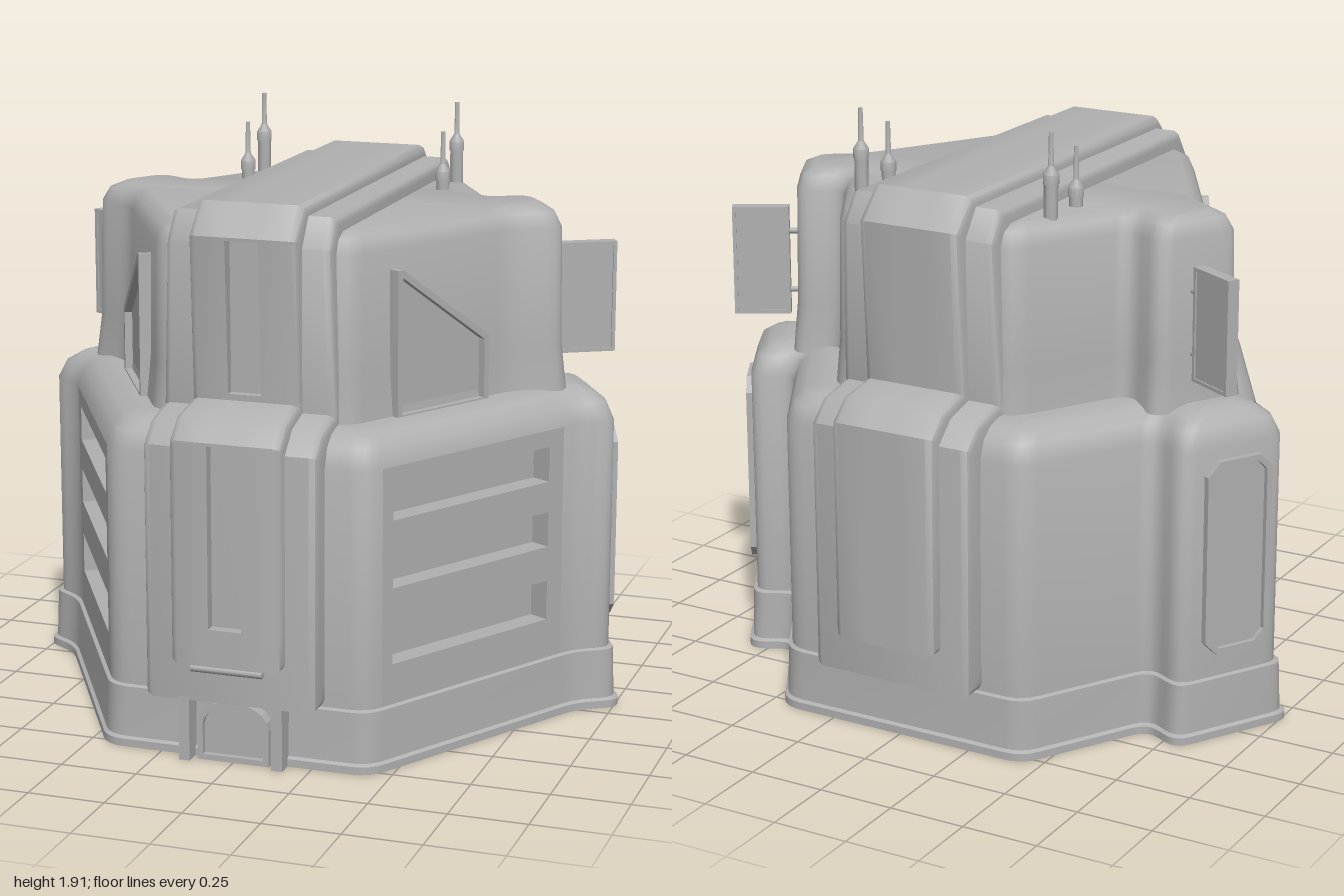
import * as THREE from 'three';
import { toCreasedNormals } from 'three/addons/utils/BufferGeometryUtils.js';

const S = Math.sqrt(3) / 2;
const grey = new THREE.MeshStandardMaterial({ color: 0xb0b0b0, side: THREE.DoubleSide });
grey.name = 'hull grey';

function add(parent, name, geo, x = 0, y = 0, z = 0) {
  const m = new THREE.Mesh(geo, grey);
  m.name = name;
  m.position.set(x, y, z);
  parent.add(m);
  return m;
}

// Move a 2D path sideways by d, with mitred corners
function offset(pts, d, closed) {
  const n = pts.length;
  const differs = (a, b) => Math.hypot(a[0] - b[0], a[1] - b[1]) > 1e-6;
  const find = (i, step) => {
    for (let k = i + step; closed || (k >= 0 && k < n); k += step) {
      const q = pts[(k + n) % n];
      if (differs(q, pts[i])) return q;
    }
    return null;
  };
  const normal = (a, b) => {
    const l = Math.hypot(b[0] - a[0], b[1] - a[1]);
    return [-(b[1] - a[1]) / l, (b[0] - a[0]) / l];
  };
  return pts.map((p, i) => {
    const a = find(i, -1), b = find(i, 1);
    const n1 = a ? normal(a, p) : normal(p, b), n2 = b ? normal(p, b) : n1;
    const k = d / (1 + n1[0] * n2[0] + n1[1] * n2[1]);
    return [p[0] + (n1[0] + n2[0]) * k, p[1] + (n1[1] + n2[1]) * k];
  });
}

// Round every corner with five points
function rounded(pts, r) {
  const out = [], n = pts.length;
  const towards = (p, q) => {
    const l = Math.hypot(q[0] - p[0], q[1] - p[1]);
    return [p[0] + (q[0] - p[0]) * r / l, p[1] + (q[1] - p[1]) * r / l];
  };
  pts.forEach((p, i) => {
    const a = towards(p, pts[(i + n - 1) % n]), b = towards(p, pts[(i + 1) % n]);
    for (let k = 0; k <= 4; k++) {
      const t = k / 4, u = 1 - t;
      out.push([0, 1].map(c => u * u * a[c] + 2 * u * t * p[c] + t * t * b[c]));
    }
  });
  return out;
}

// Skin a set of equal rows of points; cap closes the last row
function skin(rows, closed, skip = () => false, cap = null) {
  const n = rows[0].length, index = [];
  for (let j = 0; j < rows.length - 1; j++) {
    for (let i = 0; i < (closed ? n : n - 1); i++) {
      if (skip(i, j)) continue;
      const a = j * n + i, b = j * n + (i + 1) % n;
      index.push(a, b, b + n, a, b + n, a + n);
    }
  }
  if (cap) {
    const base = (rows.length - 1) * n;
    const flat = cap.map(p => new THREE.Vector2(p[0], -p[1]));
    THREE.ShapeUtils.triangulateShape(flat, []).forEach(f => index.push(...f.map(v => base + v)));
  }
  const g = new THREE.BufferGeometry();
  g.setAttribute('position', new THREE.Float32BufferAttribute(rows.flat(2), 3));
  g.setIndex(index);
  return toCreasedNormals(g, 0.75);
}

// Hexagonal plan with two lobes at the rear flanks
function plan(front, back, wall, rear, lobe, t0, t1) {
  const half = [
    [(wall - front / 2) / S, front],
    [(wall * S - t0 / 2) / 0.5, (t0 * S - wall / 2) / 0.5],
    [S * lobe + t0 / 2, -lobe / 2 + S * t0],
    [S * lobe + t1 / 2, -lobe / 2 + S * t1],
    [S * rear + t1 / 2, -rear / 2 + S * t1],
    [(rear - back / 2) / S, -back],
  ];
  return half.concat([...half].reverse().map(([x, z]) => [-x, z]));
}

function hull(outline, levels, r, skip, capped) {
  const rings = levels.map(([, d]) => rounded(offset(outline, -d, true), r));
  const rows = rings.map((ring, j) => ring.map(([x, z]) => [x, levels[j][0], z]));
  return skin(rows, true, skip, capped ? rings[rings.length - 1] : null);
}

// Band running up the front, over the roof and down the back; third value is slot depth
function band(profile, w, wTop, slot) {
  const edge = [[0, 0.12], [0, 0.025], [0.007, 0.009], [0.025, 0]];
  const sections = edge.map(([i, d]) => [w - i, d, 0]);
  if (slot) sections.push([slot, 0, 0], [slot, 0, 1]);
  sections.push(...[...sections].reverse().map(([x, d, s]) => [-x, d, s]));
  const rows = sections.map(([x, d, s]) => offset(profile, d, false).map(([z, y], i) =>
    [Math.abs(x) > slot + 0.001 && profile[i][1] > 1.12 ? x * wTop / w : x, y, z - s * (profile[i][2] || 0)]));
  return skin(rows, false);
}

const poly = pts => new THREE.Shape(pts.map(p => new THREE.Vector2(p[0], p[1])));

// Flat raised border with an inner plate
function framed(parent, name, pts, border, depth, plateDepth, z) {
  const shape = poly(pts);
  const inner = offset(pts, border, true);
  shape.holes.push(poly(inner));
  add(parent, name + 'Frame', new THREE.ExtrudeGeometry(shape, { depth, bevelEnabled: false }), 0, 0, z);
  add(parent, name + 'Plate', new THREE.ExtrudeGeometry(poly(inner), { depth: plateDepth, bevelEnabled: false }),
    0, 0, z + (depth - plateDepth) * (name === 'fin' ? 0.5 : 0));
}

export function createModel() {
  const model = new THREE.Group();
  model.name = 'building';

  // Hollow lower and upper storeys, with gaps left for the window walls
  const WALL = 0.746, R = 0.06;
  const low = plan(0.762, 0.765, WALL, 0.75, 0.9, 0.42, 0.03);
  const high = plan(0.62, 0.62, 0.58, 0.58, 0.74, 0.35, 0.04);
  const gap = (i, j) => j === 0 && (i === 4 || i === 54);
  add(model, 'lowerStorey', hull(low, [[0.2, 0], [0.96, 0], [1.02, 0.022], [1.05, 0.06], [1.065, 0.11]], R, gap, true));
  add(model, 'upperStorey', hull(high, [[1.04, -0.015], [1.2, 0], [1.585, 0.006], [1.63, 0.025], [1.65, 0.06]], R, undefined, true));
  add(model, 'plinth', hull(low, [[0, -0.028], [0.025, -0.028], [0.032, -0.017], [0.195, -0.012], [0.2, 0]], R));

  // Two layered bands over the building
  add(model, 'outerBand', band([
    [0.74, 0.2], [0.84, 0.2], [0.84, 1.01], [0.77, 1.075], [0.66, 1.1], [0.662, 1.61], [0.6, 1.7],
    [-0.6, 1.7], [-0.665, 1.61], [-0.65, 1.1], [-0.77, 1.075], [-0.84, 1.01], [-0.84, 0.2], [-0.74, 0.2],
  ], 0.283, 0.268, 0));
  add(model, 'centreBand', band([
    [0.78, 0.33], [0.88, 0.33], [0.88, 0.45], [0.88, 0.45, 0.035], [0.88, 1.03, 0.035], [0.88, 1.03], [0.88, 1.04],
    [0.81, 1.105], [0.69, 1.13], [0.691, 1.15], [0.691, 1.15, 0.028], [0.714, 1.63, 0.045], [0.714, 1.63], [0.715, 1.64],
    [0.625, 1.735], [-0.62, 1.735], [-0.715, 1.64], [-0.69, 1.13], [-0.81, 1.105], [-0.88, 1.04], [-0.88, 0.33], [-0.78, 0.33],
  ], 0.182, 0.176, 0.054));

  // Entrance
  const arch = (r, h) => {
    const pts = [[-r, 0], [r, 0]];
    for (let k = 0; k <= 10; k++) {
      const a = k / 10 * Math.PI;
      pts.push([r * Math.cos(a), h - 0.08 + 0.08 * Math.sin(a)]);
    }
    return pts;
  };
  framed(model, 'door', arch(0.118, 0.198), 0.018, 0.04, 0.02, 0.775);
  for (const s of [-1, 1]) add(model, 'doorPost', new THREE.BoxGeometry(0.035, 0.21, 0.07), s * 0.153, 0.105, 0.805);
  const rail = add(model, 'entranceRail', new THREE.CylinderGeometry(0.013, 0.013, 0.235, 10), 0, 0.317, 0.862);
  rail.rotation.z = Math.PI / 2;

  // Details of one flank, then mirrored
  const flank = new THREE.Group();
  flank.name = 'leftFlank';
  const along = p => 0.5 * p[0] - S * p[1];
  const front = new THREE.Group();
  front.name = 'frontFlank';
  front.rotation.y = Math.PI / 3;
  flank.add(front);

  // Window wall with three deep slots
  const rect = (x0, x1, y0, y1) => [[x0, y0], [x1, y0], [x1, y1], [x0, y1]];
  const wall = poly(rect(along(low[0]) + R, along(low[1]) - R, 0.2, 0.96));
  const [w0, w1, depth] = [-0.345, 0.327, 0.07];
  for (const y of [0.395, 0.632, 0.848]) {
    const h = y < 0.5 ? 0.13 : 0.115;
    wall.holes.push(poly(rect(w0, w1, y - h / 2, y + h / 2)));
    const box = new THREE.BoxGeometry(w1 - w0, h, depth);
    const idx = Array.from(box.index.array);
    idx.splice(24, 6);
    for (let i = 0; i < idx.length; i += 3) [idx[i], idx[i + 1]] = [idx[i + 1], idx[i]];
    box.setIndex(idx);
    box.clearGroups();
    box.attributes.normal.array.forEach((v, i, a) => { a[i] = -v; });
    add(front, 'windowSlot', box, (w0 + w1) / 2, y, WALL - depth / 2);
  }
  add(front, 'windowWall', new THREE.ShapeGeometry(wall), 0, 0, WALL);

  // Sloped panel on the upper storey
  framed(front, 'slopedPanel', [[-0.21, 1.05], [0.18, 1.05], [0.18, 1.27], [-0.19, 1.525], [-0.21, 1.525]], 0.02, 0.06, 0.035, 0.555);

  // Octagonal panel on the lower lobe
  const lobe = new THREE.Group();
  lobe.name = 'rearLobe';
  lobe.rotation.y = Math.PI * 2 / 3;
  flank.add(lobe);
  const [a, b, c, d, k] = [-0.355, -0.115, 0.28, 0.92, 0.045];
  framed(lobe, 'lobePanel', [[a + k, c], [b - k, c], [b, c + k], [b, d - k], [b - k, d], [a + k, d], [a, d - k], [a, c + k]],
    0.02, 0.03, 0.014, 0.892);

  // Upright fin standing off the upper lobe
  const fin = new THREE.Group();
  fin.name = 'finGroup';
  fin.position.set(-0.17, 0, 0.86);
  fin.rotation.y = Math.PI / 2;
  lobe.add(fin);
  framed(fin, 'fin', rect(-0.093, 0.093, 1.14, 1.505), 0.012, 0.04, 0.03, -0.02);
  for (const y of [1.22, 1.42]) {
    const rod = add(lobe, 'finRod', new THREE.CylinderGeometry(0.01, 0.01, 0.1, 8), -0.17, y, 0.745);
    rod.rotation.x = Math.PI / 2;
  }

  // Roof antennas
  for (const [z, top] of [[-0.27, 1.84], [-0.43, 1.915]]) {
    const neck = top - 0.13;
    const pts = [[0.022, 1.62], [0.022, neck - 0.03], [0.025, neck - 0.03], [0.025, neck], [0.009, neck + 0.025], [0.007, top], [0, top]];
    const geo = new THREE.LatheGeometry(pts.map(p => new THREE.Vector2(...p)), 12);
    add(flank, 'antenna', toCreasedNormals(geo, 0.6), 0.34, 0, z);
  }

  const other = flank.clone();
  other.name = 'rightFlank';
  other.scale.x = -1;
  model.add(flank, other);
  return model;
}
